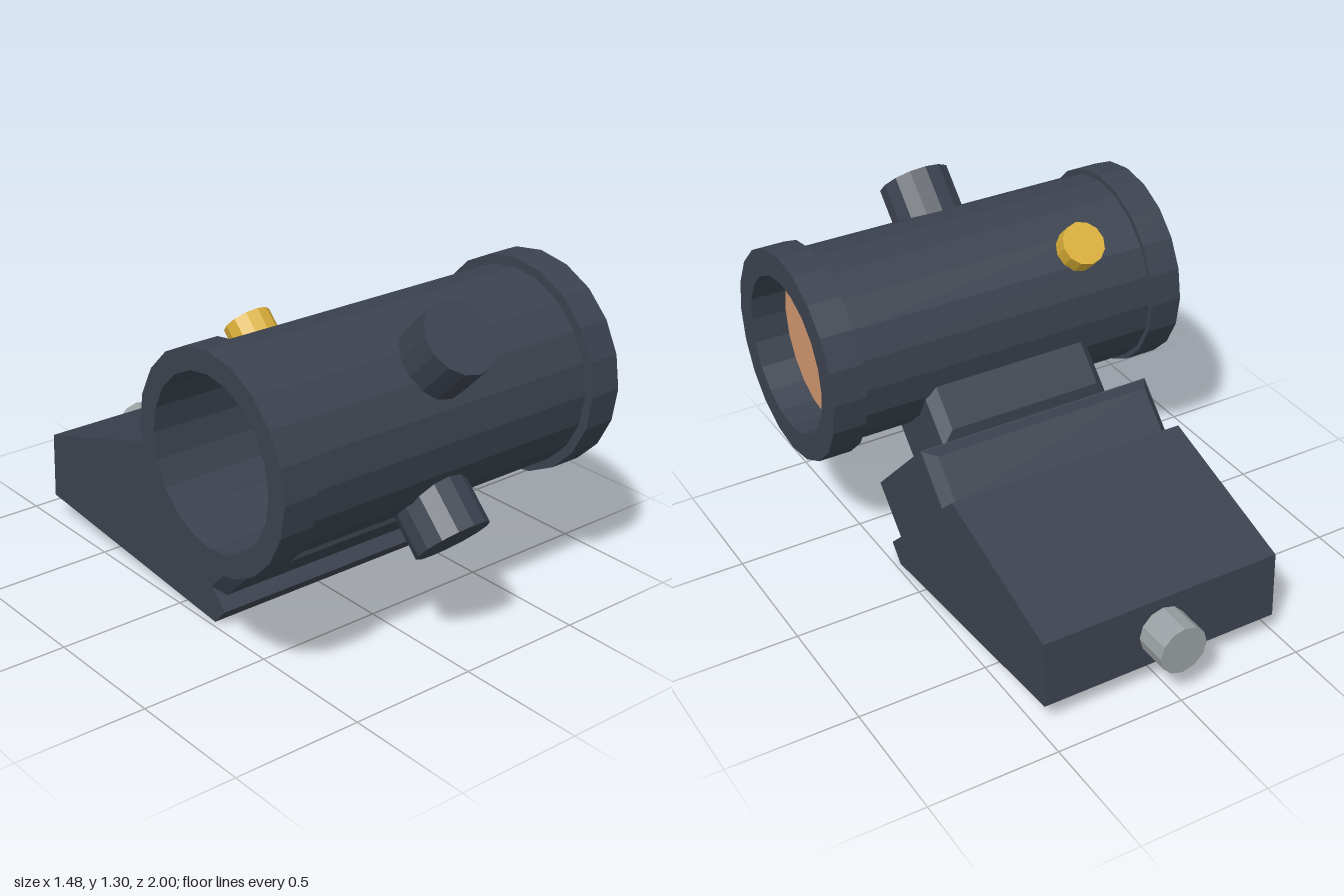
import * as THREE from 'three';

const mat = (name, color, side = THREE.FrontSide) => {
  const m = new THREE.MeshStandardMaterial({ color, side });
  m.name = name;
  return m;
};

// split the faces so every facet has its own normal
const flat = (g) => {
  const n = g.index ? g.toNonIndexed() : g;
  n.computeVertexNormals();
  return n;
};

const add = (parent, name, geometry, material) => {
  const mesh = new THREE.Mesh(flat(geometry), material);
  mesh.name = name;
  parent.add(mesh);
  return mesh;
};

// prism of a (z, y) outline, centred across x
const prism = (points, width) => {
  const shape = new THREE.Shape(points.map(([z, y]) => new THREE.Vector2(z, y)));
  const g = new THREE.ExtrudeGeometry(shape, { depth: width, bevelEnabled: false });
  return g.translate(0, 0, -width / 2).rotateY(-Math.PI / 2);
};

// rail lip: a bar whose outer (+z) face is chamfered at both ends and along the top or bottom
const lip = (width, y0, y1, z0, z1, inset, chamferTop, chamferBottom) => {
  const g = new THREE.BoxGeometry(width, y1 - y0, z1 - z0);
  const p = g.attributes.position;
  for (let i = 0; i < p.count; i++) {
    if (p.getZ(i) < 0) continue;
    p.setX(i, p.getX(i) - Math.sign(p.getX(i)) * inset);
    p.setY(i, p.getY(i) + (p.getY(i) > 0 ? -chamferTop : chamferBottom));
  }
  return g.translate(0, (y0 + y1) / 2, (z0 + z1) / 2);
};

export function createModel() {
  const slate = mat('slate', 0x3b424e);
  const copper = mat('copper lens', 0xd0966f, THREE.DoubleSide);
  const gold = mat('gold', 0xd9ae38);
  const silver = mat('silver', 0x9aa0a3);

  const model = new THREE.Group();
  model.name = 'sight';
  const centre = [0, 0.835, 0.53];

  // hollow tube with a collar at each end, lying along x
  const profile = [
    [0.31, -0.74], [0.39, -0.74], [0.39, -0.61], [0.37, -0.61], [0.37, 0.61],
    [0.405, 0.61], [0.405, 0.74], [0.305, 0.74], [0.305, 0.6], [0.31, -0.74],
  ].map(([r, y]) => new THREE.Vector2(r, y));
  const tube = add(model, 'tube', new THREE.LatheGeometry(profile, 20).rotateZ(-Math.PI / 2), slate);
  tube.position.set(...centre);

  // lens, recessed in the +x collar
  const lens = add(model, 'lens', new THREE.CircleGeometry(0.306, 20).rotateY(Math.PI / 2), copper);
  lens.position.set(0.6, centre[1], centre[2]);

  // everything fixed to the tube shares a 45 degree tilted frame
  const tilted = new THREE.Group();
  tilted.name = 'tiltedParts';
  tilted.position.set(...centre);
  tilted.rotation.x = Math.PI / 4;
  model.add(tilted);

  // adjustment knobs
  add(tilted, 'upperKnob', new THREE.CylinderGeometry(0.14, 0.14, 0.2, 14).translate(0, 0.423, 0), slate);
  add(tilted, 'lowerKnob', new THREE.CylinderGeometry(0.14, 0.14, 0.2, 14)
    .translate(0, 0.423, 0).rotateX(Math.PI / 2), slate);
  add(tilted, 'goldCap', new THREE.CylinderGeometry(0.085, 0.085, 0.09, 12)
    .translate(-0.35, 0.39, 0).rotateX(-Math.PI / 2), gold);

  // foot joining tube to mount
  add(tilted, 'foot', new THREE.BoxGeometry(0.7, 0.22, 0.31).translate(0, -0.42, 0), slate);

  // chamfered lips on both sides of the foot and of the mount rail
  for (const turn of [0, Math.PI]) {
    add(tilted, 'footLip', lip(0.7, -0.523, -0.31, 0.155, 0.195, 0.04, 0, 0.045).rotateY(turn), slate);
    add(tilted, 'railLip', lip(0.96, -0.745, -0.523, 0.242, 0.29, 0.04, 0.043, 0).rotateY(turn), slate);
  }

  // wedge mount with the tilted rail on its front
  add(model, 'mount', prism([
    [0.19, 0], [0.25, 0.065], [0.173, 0.14], [0.33, 0.295], [-0.015, 0.64],
    [-0.168, 0.482], [-0.245, 0.556], [-0.865, 0.36], [-0.875, 0.095],
  ].reverse(), 0.96), slate);

  // clamp screw at the back
  add(model, 'clampScrew', new THREE.CylinderGeometry(0.095, 0.095, 0.15, 12)
    .rotateX(Math.PI / 2).translate(0, 0.225, -0.925), silver);

  return model;
}
